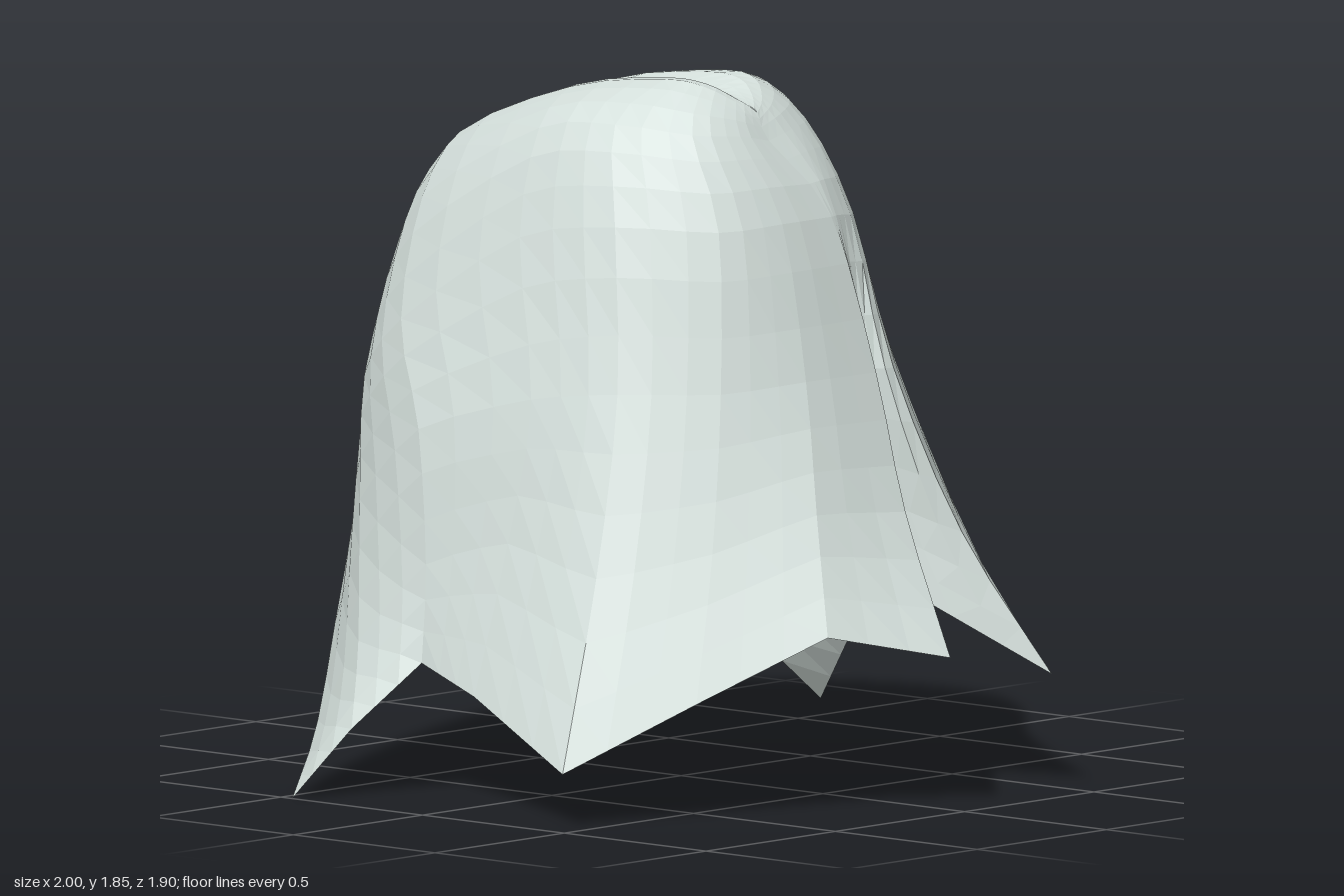
import * as THREE from 'three';

const V = (p) => new THREE.Vector3(...p);
const mirror = (row) => row.map(([x, y, z]) => [-x, y, z]);
const SUB = 3; // facets between neighbouring guide points

// Guide rows run from the front fold round to the edge of the back opening.
const parting = [[-.02, 1.79, .25], [-.02, 1.81, .2], [-.02, 1.82, .12], [-.01, 1.81, -.1], [0, 1.77, -.35], [.02, 1.61, -.66], [.05, 1.45, -.83], [.07, 1.31, -.91]];
const lobe = [[0, 1.77, .27], [.05, 1.8, .24], [.1, 1.84, .17], [.12, 1.85, .05], [.12, 1.8, -.28], [.13, 1.64, -.66], [.14, 1.44, -.82], [.13, 1.28, -.89]];
const crown = [[0, 1.7, .31], [.1, 1.72, .3], [.22, 1.73, .24], [.31, 1.75, .05], [.33, 1.72, -.2], [.32, 1.56, -.56], [.27, 1.34, -.77], [.18, 1.14, -.88]];

const leftRows = [parting, lobe, crown,
  [[.11, 1.5, .43], [.15, 1.5, .42], [.26, 1.49, .37], [.42, 1.5, .15], [.46, 1.45, -.15], [.48, 1.24, -.52], [.41, 1.08, -.7], [.27, .95, -.85]],
  [[.14, 1.1, .56], [.18, 1.1, .49], [.24, 1.1, .53], [.49, 1.1, .28], [.56, 1.08, -.02], [.6, .97, -.38], [.54, .84, -.58], [.43, .73, -.74]],
  [[.1, .75, .7], [.2, .75, .54], [.35, .67, .67], [.61, .75, .36], [.65, .75, .07], [.69, .65, -.25], [.72, .52, -.42], [.7, .38, -.56]],
  [[0, .4, .95], [.2, .53, .6], [.48, .3, .87], [.75, .38, .42], [.8, .42, .2], [.82, .45, -.04], [.91, .26, -.23], [1, .06, -.42]]];

// The right half shares the crown, but its edge sweeps further across the back.
const withEdge = (row, ...tail) => [...mirror(row).slice(0, row.length - tail.length), ...tail];
const rightRows = [parting,
  withEdge(lobe, [-.1, 1.64, -.69], [-.04, 1.42, -.86], [.05, 1.2, -.95]),
  withEdge(crown, [-.32, 1.5, -.62], [-.2, 1.28, -.83], [0, 1.08, -.95]),
  [[.11, 1.5, .43], [-.08, 1.5, .43], [-.26, 1.49, .37], [-.42, 1.5, .15], [-.46, 1.45, -.15], [-.48, 1.2, -.55], [-.37, 1.02, -.78], [-.15, .85, -.93]],
  [[.14, 1.1, .56], [-.12, 1.1, .55], [-.34, 1.08, .45], [-.52, 1.08, .25], [-.58, 1.05, 0], [-.61, .94, -.37], [-.53, .72, -.65], [-.37, .5, -.85]],
  [[.1, .75, .7], [-.21, .77, .67], [-.46, .68, .53], [-.69, .62, .33], [-.67, .68, 0], [-.68, .6, -.28], [-.7, .38, -.5], [-.66, .15, -.68]],
  [[0, .4, .95], [-.31, .47, .8], [-.62, .31, .62], [-.93, .14, .43], [-.8, .29, 0], [-.74, .35, -.24], [-.88, .18, -.36], [-1, 0, -.46]]];

// Sheet through guide rows: smooth at the crown, creased towards the hem.
function sheet(rows, flip) {
  const cols = (rows[0].length - 1) * SUB, lines = (rows.length - 1) * SUB;
  const guides = rows.map((row, r) => {
    const pts = row.map(V), curve = new THREE.CatmullRomCurve3(pts, false, 'catmullrom', 0.5);
    const crease = (r / (rows.length - 1)) ** 3;
    return Array.from({ length: cols + 1 }, (_, j) => {
      const k = Math.min(Math.floor(j / SUB), pts.length - 2);
      const straight = pts[k].clone().lerp(pts[k + 1], j / SUB - k);
      return curve.getPoint(j / cols).lerp(straight, crease);
    });
  });
  const pos = [], idx = [];
  for (let j = 0; j <= cols; j++) {
    const strand = new THREE.CatmullRomCurve3(guides.map((g) => g[j]), false, 'catmullrom', 0.5);
    for (let i = 0; i <= lines; i++) pos.push(...strand.getPoint(i / lines).toArray());
  }
  for (let j = 0; j < cols; j++) for (let i = 0; i < lines; i++) {
    const a = j * (lines + 1) + i, b = a + 1, c = a + lines + 1, d = c + 1;
    idx.push(...(flip ? [a, c, b, b, c, d] : [a, b, c, b, d, c]));
  }
  const geo = new THREE.BufferGeometry();
  geo.setAttribute('position', new THREE.Float32BufferAttribute(pos, 3));
  geo.setIndex(idx);
  geo.computeVertexNormals();
  return geo;
}

export function createModel() {
  const group = new THREE.Group();
  group.name = 'hair';
  const mat = new THREE.MeshStandardMaterial({ color: 0xd4dfdb, flatShading: true, side: THREE.DoubleSide });
  mat.name = 'paleHair';
  const add = (name, geo) => {
    const mesh = new THREE.Mesh(geo, mat);
    mesh.name = name;
    group.add(mesh);
  };
  add('leftHair', sheet(leftRows, false));
  add('rightHair', sheet(rightRows, true));

  // Short loose lock tucked inside the left hem
  add('innerLock', sheet([
    [[.75, .44, .18], [.76, .45, .03], [.77, .42, -.13]],
    [[.72, .36, .12], [.72, .34, .02], [.77, .36, -.12]],
    [[.7, .32, .09], [.69, .29, .02], [.72, .31, -.08]]], false));
  return group;
}
